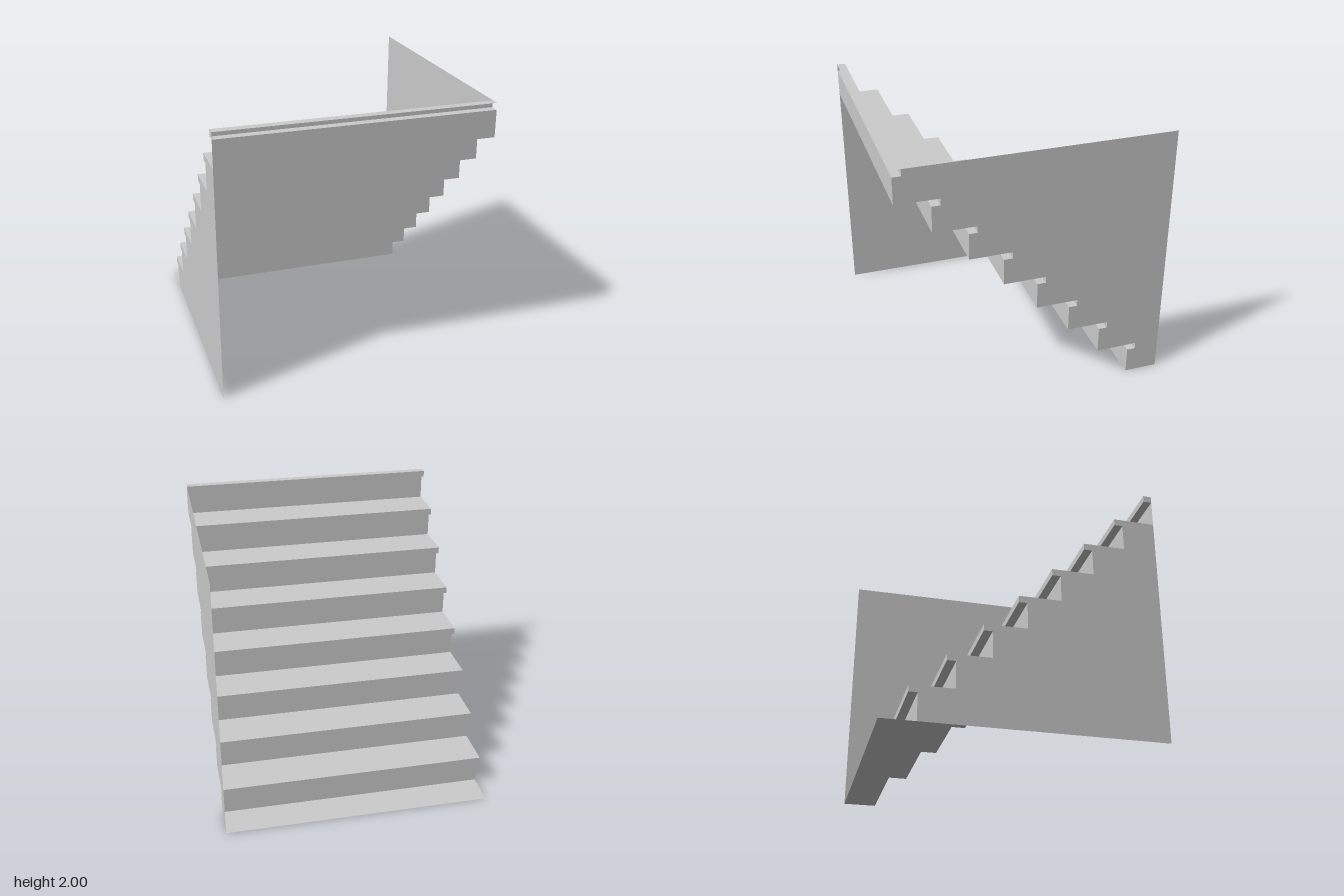
import * as THREE from 'three';

const STEPS = 8, RUN = 0.25, NOSE_DEPTH = 0.0625, NOSE_HEIGHT = 0.05, HALF = 1;

const material = new THREE.MeshStandardMaterial({
  color: 0xcccccc, flatShading: true, side: THREE.DoubleSide,
});

// Open ribbon: a [z, y] profile swept across the full width
function ribbon(profile) {
  const pos = [];
  for (let i = 0; i < profile.length - 1; i++) {
    const [az, ay] = profile[i], [bz, by] = profile[i + 1];
    const a0 = [-HALF, ay, az], a1 = [HALF, ay, az];
    const b0 = [-HALF, by, bz], b1 = [HALF, by, bz];
    pos.push(...a0, ...b0, ...b1, ...a0, ...b1, ...a1);
  }
  const geo = new THREE.BufferGeometry();
  geo.setAttribute('position', new THREE.Float32BufferAttribute(pos, 3));
  geo.computeVertexNormals();
  return geo;
}

// Flat sheet in the plane of constant x, outlined by [z, y] points
function sheet(outline, x) {
  const shape = new THREE.Shape(outline.map(([z, y]) => new THREE.Vector2(z, y)));
  return new THREE.ShapeGeometry(shape).rotateY(-Math.PI / 2).translate(x, 0, 0);
}

// Riser, overhanging nosing and front edge of step k
function stepProfile(k) {
  const z = -HALF + RUN * k, y = RUN * k;
  return [
    [z, y - RUN], [z, y - NOSE_HEIGHT],
    [z - NOSE_DEPTH, y - NOSE_HEIGHT], [z - NOSE_DEPTH, y],
  ];
}

export function createModel() {
  const group = new THREE.Group();
  const add = (name, geo) => {
    const mesh = new THREE.Mesh(geo, material);
    mesh.name = name;
    group.add(mesh);
  };

  // Floor strip in front of the first riser
  add('floor', ribbon([[-HALF, 0], [-HALF + RUN, 0]]));

  // Steps; each tread runs back to the next riser, the last one stops at the edge
  const flight = [];
  for (let k = 1; k <= STEPS; k++) {
    const profile = stepProfile(k);
    const treadEnd = [Math.min(HALF, -HALF + RUN * (k + 1)), RUN * k];
    add('step' + k, ribbon([...profile, treadEnd]));
    flight.push(...profile);
  }

  // Wall above the steps on one side
  add('upperWall', sheet([[-HALF, 0], ...flight, [-HALF, 2]], HALF));

  // Wall below the steps on the other side, with the end of the top nosing
  const lower = flight.slice(0, (STEPS - 1) * 4);
  add('lowerWall', sheet([...lower, [HALF, 2 - RUN], [HALF, 0]], -HALF));
  add('topNosingEnd', sheet([...stepProfile(STEPS).slice(1), [HALF, 2]], -HALF));

  return group;
}
